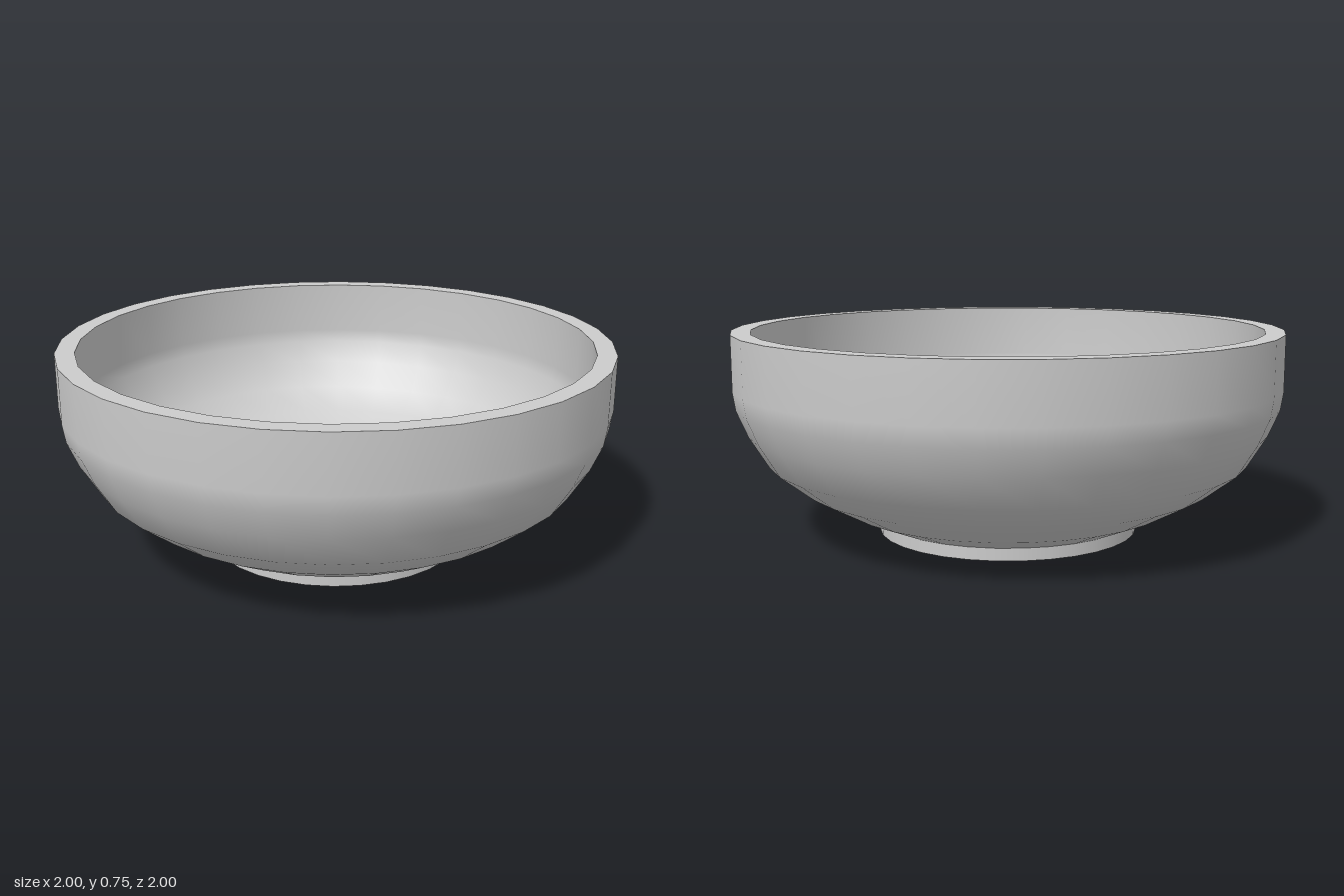
import * as THREE from 'three';

const material = new THREE.MeshStandardMaterial({ color: 0xcccccc });

// Spins a smooth curve given as [radius, height] pairs; separate strips keep edges sharp.
function turned(name, profile) {
  const points = profile.map(([r, y]) => new THREE.Vector2(r, y));
  const mesh = new THREE.Mesh(new THREE.LatheGeometry(points, 32), material);
  mesh.name = name;
  return mesh;
}

// Spins each straight stretch of a profile as its own hard-edged strip.
function turnedSharp(name, profile) {
  const group = new THREE.Group();
  group.name = name;
  for (let i = 1; i < profile.length; i++) {
    group.add(turned(`${name}Face${i}`, [profile[i - 1], profile[i]]));
  }
  return group;
}

export function createModel() {
  const bowl = new THREE.Group();
  bowl.name = 'bowl';

  // Foot ring with a shallow recess underneath
  bowl.add(turnedSharp('foot', [[0, 0.03], [0.41, 0.03], [0.41, 0], [0.48, 0], [0.48, 0.045]]));

  // Outer wall, swelling out to a vertical side
  bowl.add(turned('outerWall', [
    [0.48, 0.045], [0.61, 0.1], [0.76, 0.182], [0.88, 0.275],
    [0.95, 0.39], [0.99, 0.485], [1, 0.55], [1, 0.75],
  ]));

  // Flat rim
  bowl.add(turned('rim', [[1, 0.75], [0.93, 0.75]]));

  // Inner wall running down to the flat floor
  bowl.add(turned('innerWall', [
    [0.93, 0.75], [0.93, 0.55], [0.92, 0.5], [0.885, 0.415], [0.825, 0.32],
    [0.72, 0.24], [0.58, 0.163], [0.46, 0.112], [0.38, 0.1], [0, 0.1],
  ]));

  return bowl;
}
